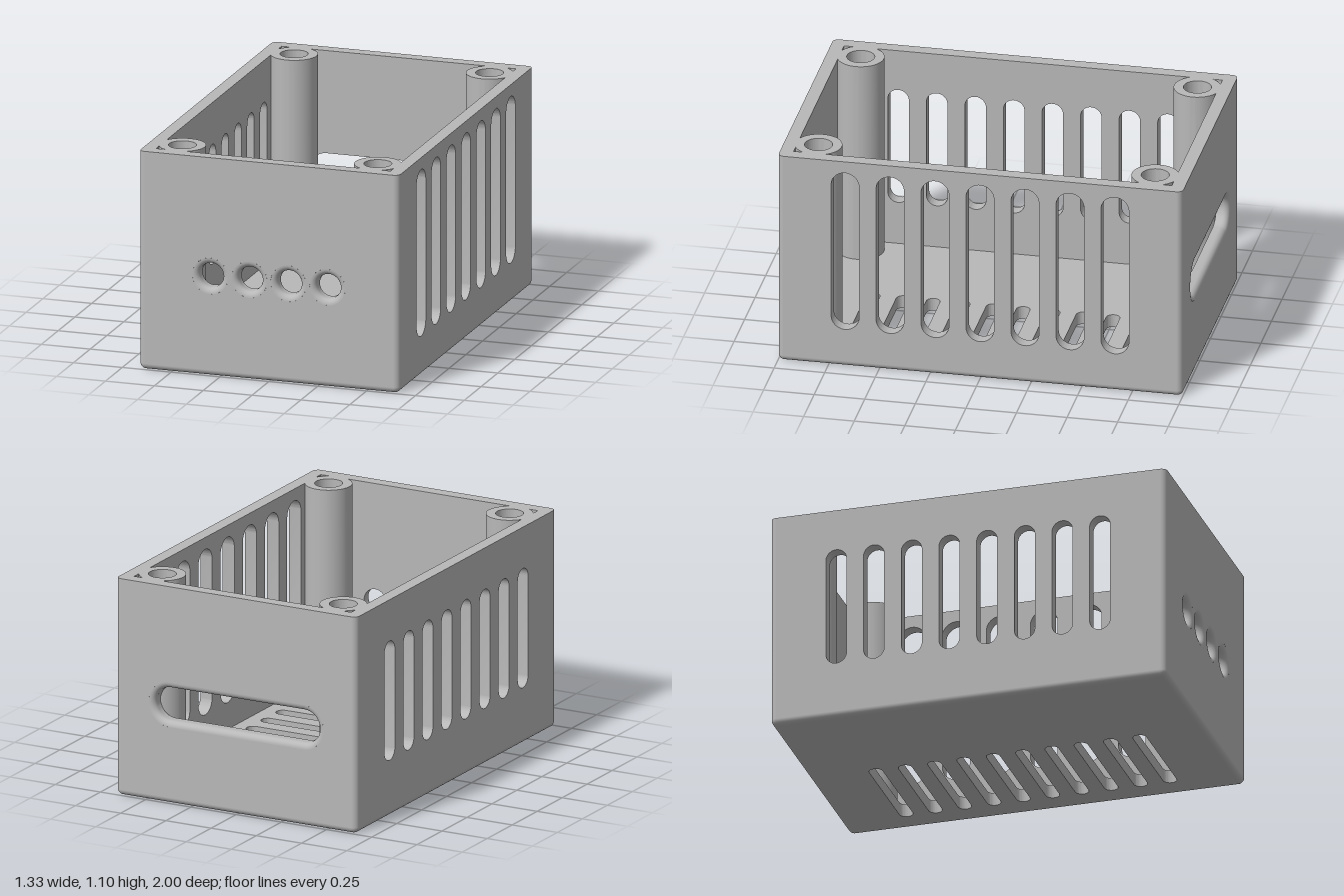
import * as THREE from 'three';
import { toCreasedNormals } from 'three/addons/utils/BufferGeometryUtils.js';

const X = 0.665, Z = 1, H = 1.1;      // outer half width, half length, height
const T = 0.065;                      // wall thickness
const R = 0.03;                       // rounding of outer edges and port rims
const PI = Math.PI;

// Round-ended opening: s is half the distance between the end centres
function slot(cx, cy, s, r, vertical = false) {
  const p = new THREE.Path();
  const a = vertical ? 0 : -PI / 2;
  const dx = vertical ? 0 : s, dy = vertical ? s : 0;
  p.absarc(cx + dx, cy + dy, r, a, a + PI, false);
  p.absarc(cx - dx, cy - dy, r, a + PI, a + 2 * PI, false);
  return p;
}

// Flat plate with openings, extruded towards +z
function plate(x0, x1, y0, y1, depth, holes) {
  const shape = new THREE.Shape([
    new THREE.Vector2(x0, y0), new THREE.Vector2(x1, y0),
    new THREE.Vector2(x1, y1), new THREE.Vector2(x0, y1),
  ]);
  shape.holes.push(...holes);
  const g = new THREE.ExtrudeGeometry(shape, { depth, bevelEnabled: false, curveSegments: 16 });
  return toCreasedNormals(g, 0.5);
}

// Rounded rim of a port, from radius r inside to r + R at the outer face
function rimGeometry(cx, cy, s, r) {
  const half = 20, steps = 8, pos = [], idx = [], n = 2 * (half + 1);
  for (let i = 0; i < n; i++) {
    const left = i > half;
    const a = -PI / 2 + ((left ? i - 1 : i) / half) * PI;
    for (let j = 0; j <= steps; j++) {
      const f = (j / steps) * PI / 2;
      const rad = r + R - R * Math.cos(f);
      pos.push(cx + (left ? -s : s) + rad * Math.cos(a), cy + rad * Math.sin(a), T - R + R * Math.sin(f));
      if (j < steps) {
        const p = i * (steps + 1) + j, q = ((i + 1) % n) * (steps + 1) + j;
        idx.push(p, p + 1, q, p + 1, q + 1, q);
      }
    }
  }
  const g = new THREE.BufferGeometry();
  g.setAttribute('position', new THREE.Float32BufferAttribute(pos, 3));
  g.setIndex(idx);
  g.computeVertexNormals();
  return g;
}

export function createModel() {
  const model = new THREE.Group();
  model.name = 'enclosure';
  const grey = new THREE.MeshStandardMaterial({ color: 0xb8b8b8 });
  grey.name = 'grey plastic';

  const add = (name, geometry, parent = model) => {
    const m = new THREE.Mesh(geometry, grey);
    m.name = name;
    parent.add(m);
    return m;
  };

  // End wall with rounded ports: inner layer, wider outer layer and rims
  function endWall(name, ports) {
    const g = new THREE.Group();
    g.name = name;
    const w = X - R;
    add(name + 'Inner', plate(-w, w, R, H, T - R, ports.map(([x, y, s, r]) => slot(x, y, s, r))), g);
    add(name + 'Outer', plate(-w, w, R, H, R, ports.map(([x, y, s, r]) => slot(x, y, s, r + R))), g)
      .position.z = T - R;
    ports.forEach((p) => add('portRim', rimGeometry(...p), g));
    model.add(g);
    return g;
  }
  const front = endWall('frontWall', [-0.3, -0.1, 0.1, 0.3].map((x) => [x, 0.503, 0, 0.061]));
  front.position.z = Z - T;
  const back = endWall('backWall', [[0, 0.5, 0.37, 0.083]]);
  back.rotation.y = PI;
  back.position.z = -(Z - T);

  // Side walls with rows of vertical vents
  function sideWall(name, side, count, y0, y1, r) {
    const holes = [];
    for (let i = 0; i < count; i++) {
      holes.push(slot(-0.667 + (1.334 * i) / (count - 1), (y0 + y1) / 2, (y1 - y0) / 2 - r, r, true));
    }
    const m = add(name, plate(-(Z - R), Z - R, R, H, T, holes));
    m.rotation.y = side * PI / 2;
    m.position.x = side * (X - T);
  }
  sideWall('leftWall', 1, 7, 0.2, 1.04, 0.069);
  sideWall('rightWall', -1, 8, 0.285, 0.89, 0.052);

  // Floor with a row of vents on one side
  const vents = [];
  for (let i = 0; i < 10; i++) vents.push(slot(0.249, -0.667 + 0.1482 * i, 0.25, 0.034));
  const floor = add('floor', plate(-(X - R), X - R, -(Z - R), Z - R, T, vents));
  floor.rotation.x = PI / 2;
  floor.position.y = T;

  // Rounded outer edges and bottom corners
  const rod = (length) => new THREE.CylinderGeometry(R, R, length, 32);
  for (const s of [-1, 1]) {
    const long = add('bottomSideEdge', rod(2 * (Z - R)));
    long.rotation.x = PI / 2;
    long.position.set(s * (X - R), R, 0);
    const short = add('bottomEndEdge', rod(2 * (X - R)));
    short.rotation.z = PI / 2;
    short.position.set(0, R, s * (Z - R));
    for (const t of [-1, 1]) {
      add('cornerEdge', rod(H - R)).position.set(s * (X - R), (H + R) / 2, t * (Z - R));
      add('bottomCorner', new THREE.SphereGeometry(R, 32, 16)).position.set(s * (X - R), R, t * (Z - R));
    }
  }

  // Hollow screw posts in the four corners
  const ring = new THREE.Shape().absarc(0, 0, 0.115, 0, 2 * PI, false);
  ring.holes.push(new THREE.Path().absarc(0, 0, 0.068, 0, 2 * PI, true));
  const postGeo = toCreasedNormals(
    new THREE.ExtrudeGeometry(ring, { depth: H - 0.05, bevelEnabled: false, curveSegments: 48 }), 0.5);
  postGeo.rotateX(-PI / 2);
  for (const s of [-1, 1]) {
    for (const t of [-1, 1]) add('screwPost', postGeo).position.set(s * 0.5, 0.05, t * 0.832);
  }
  return model;
}
